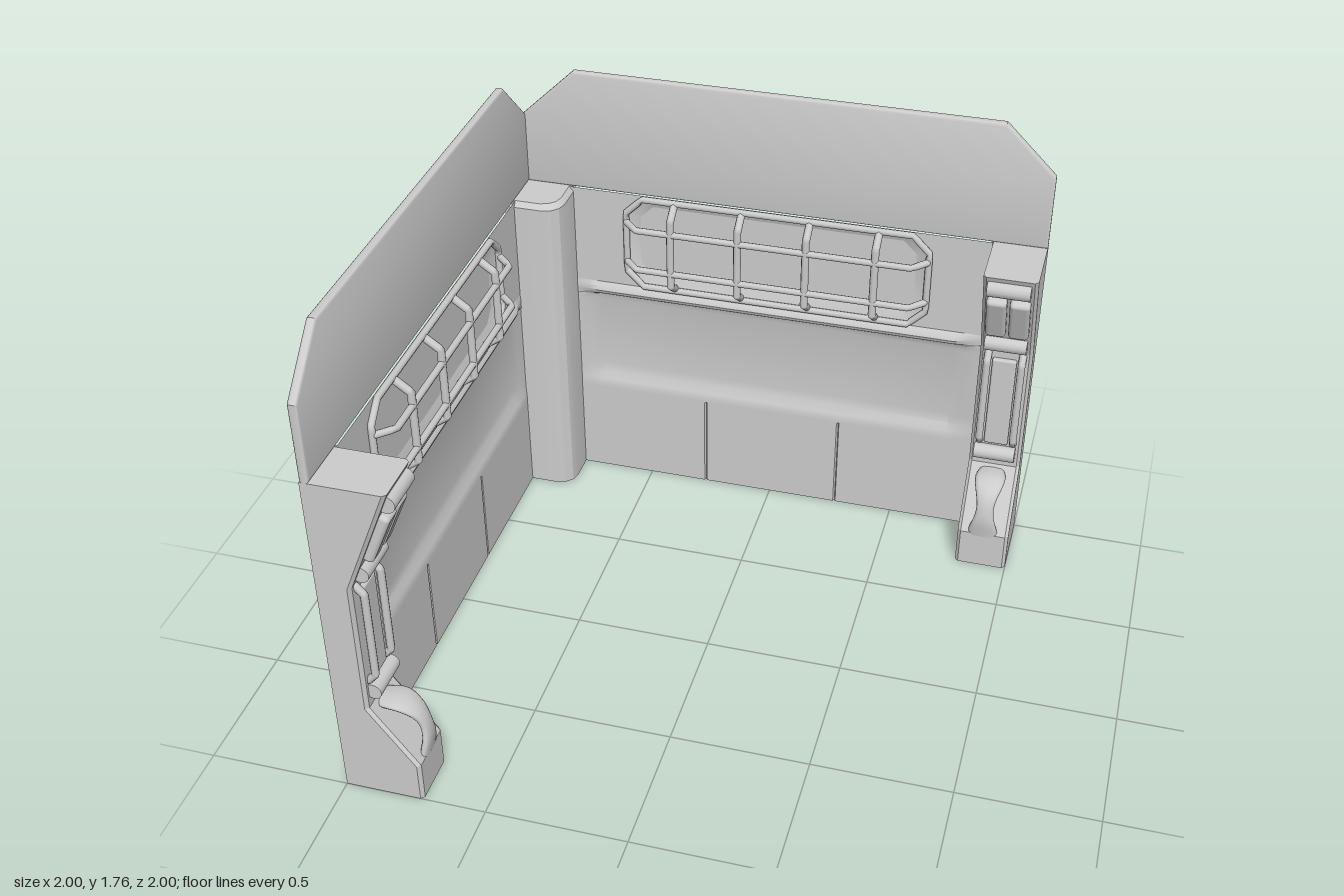
import * as THREE from 'three';
import { toCreasedNormals } from 'three/addons/utils/BufferGeometryUtils.js';
import { RoundedBoxGeometry } from 'three/addons/geometries/RoundedBoxGeometry.js';

const grey = new THREE.MeshStandardMaterial({ color: 0xcccccc, side: THREE.DoubleSide });

function add(parent, name, geometry, x = 0, y = 0, z = 0) {
  const mesh = new THREE.Mesh(geometry, grey);
  mesh.name = name;
  mesh.position.set(x, y, z);
  parent.add(mesh);
  return mesh;
}

// Surface through rows of [x, y, z] points
function grid(rows, crease = 0.5) {
  const n = rows[0].length, index = [];
  for (let r = 0; r < rows.length - 1; r++) {
    for (let c = 0; c < n - 1; c++) {
      const a = r * n + c, d = a + n;
      index.push(a, a + 1, d + 1, a, d + 1, d);
    }
  }
  const g = new THREE.BufferGeometry();
  g.setAttribute('position', new THREE.Float32BufferAttribute(rows.flat(2), 3));
  g.setIndex(index);
  return toCreasedNormals(g, crease);
}

// Tube along straight segments, with ball ends when open
function rod(parent, name, points, radius, closed = false, segments = 48) {
  const v = points.map((p) => new THREE.Vector3(...p));
  const path = new THREE.CatmullRomCurve3(v, closed, 'catmullrom', 0);
  add(parent, name, new THREE.TubeGeometry(path, segments, radius, 8, closed));
  if (!closed) {
    for (const p of [points[0], points.at(-1)]) add(parent, name + 'End', new THREE.SphereGeometry(radius, 8, 6), ...p);
  }
}

function octagon(w, y0, y1, c) {
  return [[-w + c, y0], [w - c, y0], [w, y0 + c], [w, y1 - c], [w - c, y1], [-w + c, y1], [-w, y1 - c], [-w, y0 + c]];
}
const vec2 = (pts) => pts.map((p) => new THREE.Vector2(...p));

function buildWall() {
  const wall = new THREE.Group();

  // Thick top panel with clipped corners
  const top = new THREE.Shape(vec2([[-1, 1.29], [1, 1.29], [1, 1.575], [0.81, 1.76], [-0.775, 1.76], [-1, 1.545]]));
  const topGeo = new THREE.ExtrudeGeometry(top, {
    depth: 0.013, bevelThickness: 0.01, bevelSize: 0.01, bevelOffset: -0.01, bevelSegments: 3,
  });
  add(wall, 'topPanel', toCreasedNormals(topGeo, 0.6), 0, 0, -0.99);

  // Lower wall: seamed skirt, recessed band and overhanging lip
  const profile = [[0, 0.035], [0.385, 0.035], [0.39, 0.035], [0.41, 0.035], [0.43, 0.03], [0.46, 0.014], [0.5, 0.012],
    [0.8, 0.012], [0.825, 0.02], [0.845, 0.05], [0.86, 0.056], [0.875, 0.05], [0.89, 0.035]];
  const columns = [-0.8, -0.78, -0.74, -0.7, -0.275, -0.27, -0.265, 0, 0.265, 0.27, 0.275, 0.7, 0.74, 0.78, 0.8];
  const rows = profile.map(([y, d]) => columns.map((x) => {
    const ax = Math.abs(x);
    if (ax === 0.8) return [x, y, -1];
    const fade = THREE.MathUtils.clamp((0.78 - ax) / 0.08, 0, 1);
    const seam = ax === 0.27 && y < 0.39 ? 0.01 : 0;
    return [ax === 0.78 ? Math.sign(x) * 0.8 : x, y, -1 + 0.035 + (d - 0.035) * fade - seam];
  }));
  add(wall, 'lowerWall', grid(rows));

  // Upper wall around an eight-sided pocket
  const outer = octagon(0.575, 0.9, 1.275, 0.065), inner = octagon(0.53, 0.94, 1.24, 0.05);
  const upper = new THREE.Shape(vec2([[-0.8, 0.89], [0.8, 0.89], [0.8, 1.29], [-0.8, 1.29]]));
  upper.holes.push(new THREE.Path(vec2(outer)));
  add(wall, 'upperWall', new THREE.ShapeGeometry(upper), 0, 0, -0.965);
  for (const x of [-0.8, 0.8]) add(wall, 'wallFlange', new THREE.BoxGeometry(0.006, 0.4, 0.035), x, 1.09, -0.9825);
  const ring = (pts, z) => [...pts, pts[0]].map(([x, y]) => [x, y, z]);
  add(wall, 'pocketSides', grid([ring(outer, -0.965), ring(inner, -0.98)]));
  add(wall, 'pocketFloor', new THREE.ShapeGeometry(new THREE.Shape(vec2(inner))), 0, 0, -0.98);

  // Guard cage over the pocket
  rod(wall, 'cageRim', octagon(0.58, 0.9, 1.28, 0.065).map(([x, y]) => [x, y, -0.955]), 0.013, true, 128);
  for (const y of [1.01, 1.18]) {
    rod(wall, 'cageRail', [[-0.575, y, -0.945], [-0.525, y, -0.893], [0.525, y, -0.893], [0.575, y, -0.945]], 0.013);
  }
  for (const x of [-0.39, -0.13, 0.13, 0.39]) {
    rod(wall, 'cageBar', [[x, 0.915, -0.95], [x, 0.955, -0.895], [x, 1.23, -0.895], [x, 1.27, -0.95]], 0.015);
  }

  buildPost(wall);
  return wall;
}

function buildPost(wall) {
  const post = new THREE.Group();
  post.name = 'endPost';
  wall.add(post);

  // Hollow post shell, open at the back
  const profile = [[0, 0.28], [0.13, 0.28], [0.15, 0.28], [0.375, 0.12], [0.89, 0.12], [0.99, 0.16], [1.29, 0.28], [1.29, 0]];
  add(post, 'postShell', grid(profile.map(([y, d]) => {
    const e = Math.max(d - 0.012, 0) - 1;
    return [[0.805, y, -1], [0.805, y, e], [0.817, y, d - 1], [0.988, y, d - 1], [1, y, e], [1, y, -1]];
  }), 0.3));

  // Horizontal rollers
  for (const [y, d, r] of [[1.24, 0.265, 0.032], [0.94, 0.148, 0.03], [0.44, 0.135, 0.03]]) {
    const roller = add(post, 'roller', new THREE.CylinderGeometry(r, r, 0.155, 16), 0.9, y, d - 1);
    roller.rotation.z = Math.PI / 2;
  }

  // Sloping pads
  for (const x of [0.859, 0.943]) {
    const pad = add(post, 'pad', new RoundedBoxGeometry(0.074, 0.205, 0.042, 3, 0.015), x, 1.094, -0.785);
    pad.rotation.x = 0.4;
  }

  // Upright grab rods and the plate between them
  for (const x of [0.837, 0.965]) {
    rod(post, 'grabRod', [[x, 0.48, -0.88], [x, 0.51, -0.853], [x, 0.85, -0.853], [x, 0.88, -0.88]], 0.014);
  }
  add(post, 'plate', new RoundedBoxGeometry(0.09, 0.38, 0.03, 2, 0.008), 0.9, 0.67, -0.877);

  // Waisted loop handle
  const arc = new THREE.CatmullRomCurve3([[0.12, 0.35], [0.2, 0.35], [0.255, 0.31], [0.278, 0.23], [0.268, 0.14]]
    .map(([d, y]) => new THREE.Vector3(0, y, d - 1)));
  const rows = [];
  for (let i = 0; i <= 16; i++) {
    const p = arc.getPointAt(i / 16), t = arc.getTangentAt(i / 16);
    const half = 0.045 + 0.012 * Math.cos((i / 16 - 0.2) * Math.PI * 2.5);
    rows.push(Array.from({ length: 13 }, (_, k) => {
      const a = (k / 12) * Math.PI * 2, c = Math.cos(a), s = Math.sin(a);
      const u = Math.sign(c) * Math.sqrt(Math.abs(c)) * half, n = s * 0.014;
      return [0.9 + u, p.y + t.z * n, p.z - t.y * n];
    }));
  }
  add(post, 'loopHandle', grid(rows, 1.2));
}

// Copy of a wall reflected across the corner diagonal, with faces turned to match
function reflectWall(source) {
  const wall = new THREE.Group();
  const swap = new THREE.Matrix4().set(0, 0, 1, 0, 0, 1, 0, 0, 1, 0, 0, 0, 0, 0, 0, 1);
  source.updateMatrixWorld(true);
  source.traverse((m) => {
    if (!m.isMesh) return;
    const g = m.geometry.clone().applyMatrix4(swap.clone().multiply(m.matrixWorld));
    const index = g.index ? Array.from(g.index.array) : Array.from({ length: g.attributes.position.count }, (_, i) => i);
    for (let i = 0; i < index.length; i += 3) [index[i], index[i + 1]] = [index[i + 1], index[i]];
    g.setIndex(index);
    add(wall, m.name, g);
  });
  return wall;
}

export function createModel() {
  const model = new THREE.Group();
  model.name = 'cornerWalls';
  const back = buildWall();
  back.name = 'backWall';
  const side = reflectWall(back);
  side.name = 'sideWall';
  model.add(back, side);

  // Corner column, open toward the outside corner
  const section = [[0, 0.21], [0.14, 0.21], [0.175, 0.2], [0.2, 0.175], [0.21, 0.14], [0.21, 0]];
  const rows = [[0, 1], [1.27, 1], [1.29, 0.92], [1.29, 0]].map(([y, s]) => section.map(([x, z]) => [x * s - 1, y, z * s - 1]));
  add(model, 'cornerColumn', grid(rows));
  return model;
}
